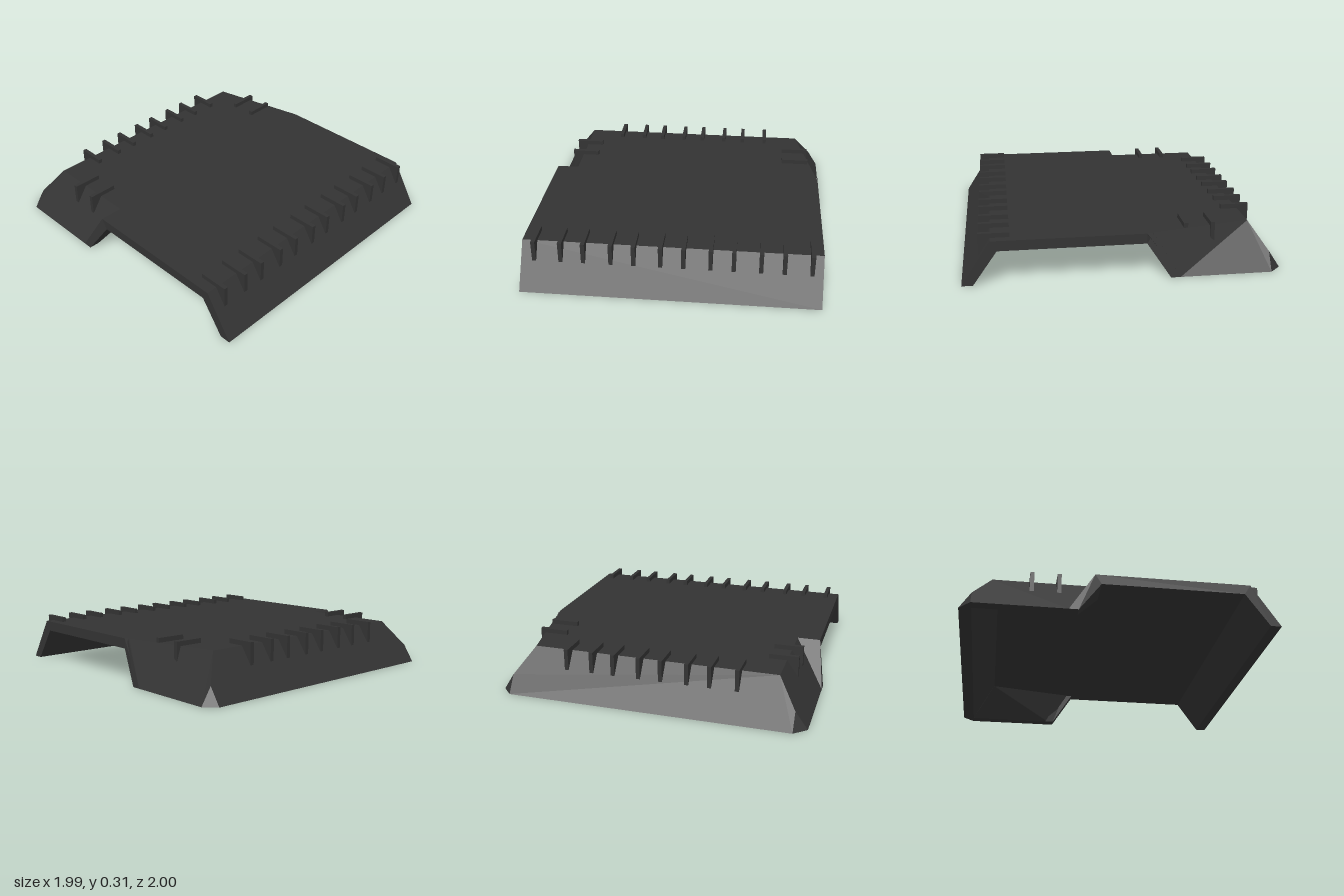
import * as THREE from 'three';

const material = new THREE.MeshStandardMaterial({ color: 0x333333, flatShading: true });

// Closed solid between two matching outlines; caps fan out from the first corner.
function panel(name, outer, inner) {
  const tris = [];
  const n = outer.length;
  for (let i = 0; i < n; i++) {
    const j = (i + 1) % n;
    if (i > 0 && j > 0) {
      tris.push([outer[0], outer[i], outer[j]], [inner[0], inner[j], inner[i]]);
    }
    tris.push([outer[i], inner[i], inner[j]], [outer[i], inner[j], outer[j]]);
  }
  // Turn the corners round if the solid came out inside out
  const v = (p) => new THREE.Vector3(...p);
  let volume = 0;
  for (const [a, b, c] of tris) volume += v(a).dot(v(b).cross(v(c)));
  if (volume < 0) tris.forEach((t) => t.reverse());
  const geometry = new THREE.BufferGeometry();
  geometry.setAttribute('position', new THREE.Float32BufferAttribute(tris.flat(2), 3));
  geometry.computeVertexNormals();
  const mesh = new THREE.Mesh(geometry, material);
  mesh.name = name;
  return mesh;
}

// Raised bar that overhangs a sloping edge, running outward along +x.
function rib(name, start, end, edge) {
  const shape = new THREE.Shape([
    [start, 0.27], [edge, 0.27], [end, 0.17], [end, 0.31], [start, 0.31],
  ].map(([x, y]) => new THREE.Vector2(x, y)));
  const geometry = new THREE.ExtrudeGeometry(shape, { depth: 0.026, bevelEnabled: false });
  geometry.translate(0, 0, -0.013);
  const mesh = new THREE.Mesh(geometry, material);
  mesh.name = name;
  return mesh;
}

export function createModel() {
  const model = new THREE.Group();
  model.name = 'ribbedCover';

  // Flat roof, notched at the front left of the plan
  model.add(panel('roof',
    [[-0.18, 0.28, 0.8], [-0.18, 0.28, 0.95], [0.81, 0.28, 0.95], [0.81, 0.28, -0.955],
      [-0.14, 0.28, -0.955], [-0.81, 0.28, -0.81], [-0.81, 0.28, 0.8]],
    [[-0.14, 0.215, 0.75], [-0.14, 0.215, 0.95], [0.77, 0.215, 0.95], [0.77, 0.215, -0.955],
      [-0.14, 0.215, -0.955], [-0.77, 0.215, -0.76], [-0.77, 0.215, 0.75]]));

  // Long sloping side walls
  model.add(panel('leftWall',
    [[0.81, 0.28, 0.95], [0.99, 0, 0.95], [0.99, 0, -0.955], [0.81, 0.28, -0.955]],
    [[0.77, 0.215, 0.95], [0.92, 0, 0.95], [0.92, 0, -0.955], [0.77, 0.215, -0.955]]));
  model.add(panel('rightWall',
    [[-0.81, 0.28, 0.8], [-0.925, 0.11, 0.92], [-0.997, 0, 0.92],
      [-0.997, 0, -0.93], [-0.925, 0.11, -0.93], [-0.81, 0.28, -0.81]],
    [[-0.77, 0.215, 0.75], [-0.86, 0.09, 0.86], [-0.92, 0, 0.93],
      [-0.92, 0, -0.93], [-0.86, 0.09, -0.86], [-0.77, 0.215, -0.76]]));

  // Short skirts wrapping the front and back corners
  model.add(panel('frontSkirt',
    [[-0.81, 0.28, 0.8], [-0.18, 0.28, 0.8], [-0.345, 0, 1], [-0.925, 0, 1], [-0.925, 0.11, 0.92]],
    [[-0.77, 0.215, 0.75], [-0.14, 0.215, 0.75], [-0.285, 0, 0.93], [-0.92, 0, 0.93], [-0.86, 0.09, 0.86]]));
  model.add(panel('backSkirt',
    [[-0.81, 0.28, -0.81], [-0.14, 0.28, -0.955], [-0.345, 0, -1], [-0.925, 0, -1], [-0.925, 0.11, -0.93]],
    [[-0.77, 0.215, -0.76], [-0.18, 0.215, -0.88], [-0.32, 0, -0.94], [-0.92, 0, -0.93], [-0.86, 0.09, -0.86]]));

  // Slanted flanges ending the skirts, and clipped lower corners
  for (const [side, s, top, inTop, z] of [['front', 1, 0.95, 0.75, 0.92], ['back', -1, 0.955, 0.88, 0.93]]) {
    const flange = (a, b) => [[-0.18, 0.28, s * a], [-0.14, 0.215, s * a], [-0.285, 0, s * b], [-0.345, 0, s * b]];
    model.add(panel(side + 'Flange', flange(top, 1), flange(inTop, 0.93)));
    model.add(panel(side + 'Corner',
      [[-0.925, 0.11, s * z], [-0.997, 0, s * z], [-0.925, 0, s]],
      [[-0.86, 0.09, s * 0.86], [-0.92, 0, s * 0.93], [-0.92, 0, s * 0.93]]));
  }

  // Ribs along both side walls
  for (const z of [-0.885, -0.715, -0.57, -0.4, -0.255, -0.085, 0.06, 0.23, 0.375, 0.55, 0.695, 0.865]) {
    const left = rib('leftRib', 0.69, 0.88, 0.8);
    left.position.z = z;
    model.add(left);
    if (Math.abs(z) > 0.6) continue;
    const right = rib('rightRib', 0.7, 0.885, 0.8);
    right.rotation.y = Math.PI;
    right.position.z = z + 0.004;
    model.add(right);
  }

  // Pairs of ribs over the skirts
  for (const x of [-0.565, -0.395]) {
    const front = rib('frontRib', 0.685, 0.875, 0.79);
    front.rotation.y = -Math.PI / 2;
    front.position.x = x;
    const back = rib('backRib', 0.7, 0.89, 0.84);
    back.rotation.y = Math.PI / 2;
    back.position.x = x;
    model.add(front, back);
  }
  return model;
}
